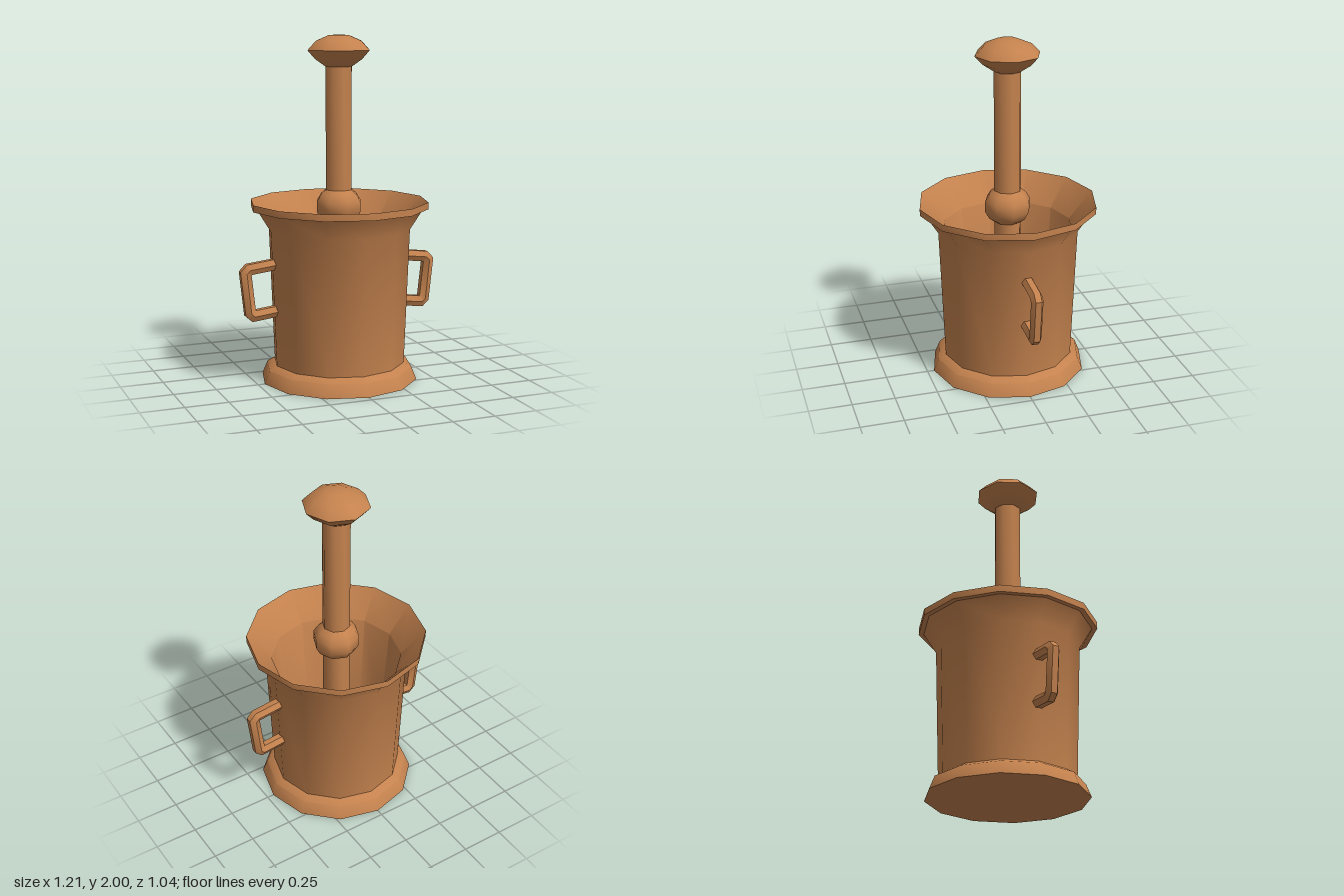
import * as THREE from 'three';
import { toCreasedNormals } from 'three/addons/utils/BufferGeometryUtils.js';

const copper = new THREE.MeshStandardMaterial({ color: 0xc4824e });
copper.name = 'copper';

// Surface of revolution with sharp edges above the crease angle
function turned(name, profile, sides, crease) {
  const points = profile.map(([r, y]) => new THREE.Vector2(r, y));
  const geometry = toCreasedNormals(new THREE.LatheGeometry(points, sides), crease);
  const mesh = new THREE.Mesh(geometry, copper);
  mesh.name = name;
  return mesh;
}

// Hexagonal bar swept along a flat path with mitred corners
function hexBar(path, radius) {
  const sides = 6;
  const points = path.map(([x, y]) => new THREE.Vector2(x, y));
  const positions = [];
  const indices = [];
  points.forEach((p, i) => {
    const before = points[Math.max(i - 1, 0)];
    const after = points[Math.min(i + 1, points.length - 1)];
    const tIn = (i > 0 ? p.clone().sub(before) : after.clone().sub(p)).normalize();
    const tOut = (i < points.length - 1 ? after.clone().sub(p) : tIn.clone()).normalize();
    const t = tIn.clone().add(tOut).normalize();
    const stretch = 1 / t.dot(tIn);
    for (let k = 0; k < sides; k++) {
      const a = Math.PI / 6 + (k * Math.PI * 2) / sides;
      const n = Math.cos(a) * radius * stretch;
      positions.push(p.x - t.y * n, p.y + t.x * n, Math.sin(a) * radius);
    }
  });
  for (let i = 0; i < points.length - 1; i++) {
    for (let k = 0; k < sides; k++) {
      const a = i * sides + k;
      const b = i * sides + ((k + 1) % sides);
      indices.push(a, b, a + sides, b, b + sides, a + sides);
    }
  }
  const geometry = new THREE.BufferGeometry();
  geometry.setAttribute('position', new THREE.Float32BufferAttribute(positions, 3));
  geometry.setIndex(indices);
  return toCreasedNormals(geometry, 0.7);
}

export function createModel() {
  const model = new THREE.Group();
  model.name = 'mortarAndPestle';

  // Mortar: foot, wall, flared lip, then down the inside to the floor
  model.add(turned('mortar', [
    [0, 0], [0.46, 0], [0.43, 0.075], [0.385, 0.1],
    [0.415, 0.89], [0.49, 1.01], [0.52, 1.01], [0.52, 1.05],
    [0.38, 0.89], [0.32, 0.24], [0.2, 0.13], [0, 0.1],
  ], 12, 0.72));

  // Pestle: grinding end, shaft, collar and knob
  const pestle = new THREE.Group();
  pestle.name = 'pestle';
  pestle.add(
    turned('grindingEnd', [
      [0, 0.11], [0.07, 0.12], [0.14, 0.15], [0.18, 0.2], [0.15, 0.26], [0.08, 0.3],
    ], 8, 0.95),
    turned('shaft', [[0.08, 0.28], [0.08, 1.84]], 8, 0.95),
    turned('collar', [
      [0.075, 0.92], [0.11, 0.945], [0.135, 0.99], [0.135, 1.05], [0.11, 1.09], [0.075, 1.12],
    ], 8, 0.95),
    turned('knob', [
      [0, 1.82], [0.08, 1.822], [0.145, 1.866], [0.19, 1.915], [0.14, 1.967], [0.06, 2], [0, 2],
    ], 8, 0.95),
  );
  model.add(pestle);

  // Handles, one on each side
  const handleGeometry = hexBar([
    [0.385, 0.704], [0.55, 0.684], [0.571, 0.662], [0.545, 0.43], [0.525, 0.412], [0.37, 0.43],
  ], 0.036);
  ['leftHandle', 'rightHandle'].forEach((name, i) => {
    const handle = new THREE.Mesh(handleGeometry, copper);
    handle.name = name;
    handle.rotation.y = i * Math.PI;
    model.add(handle);
  });

  return model;
}
